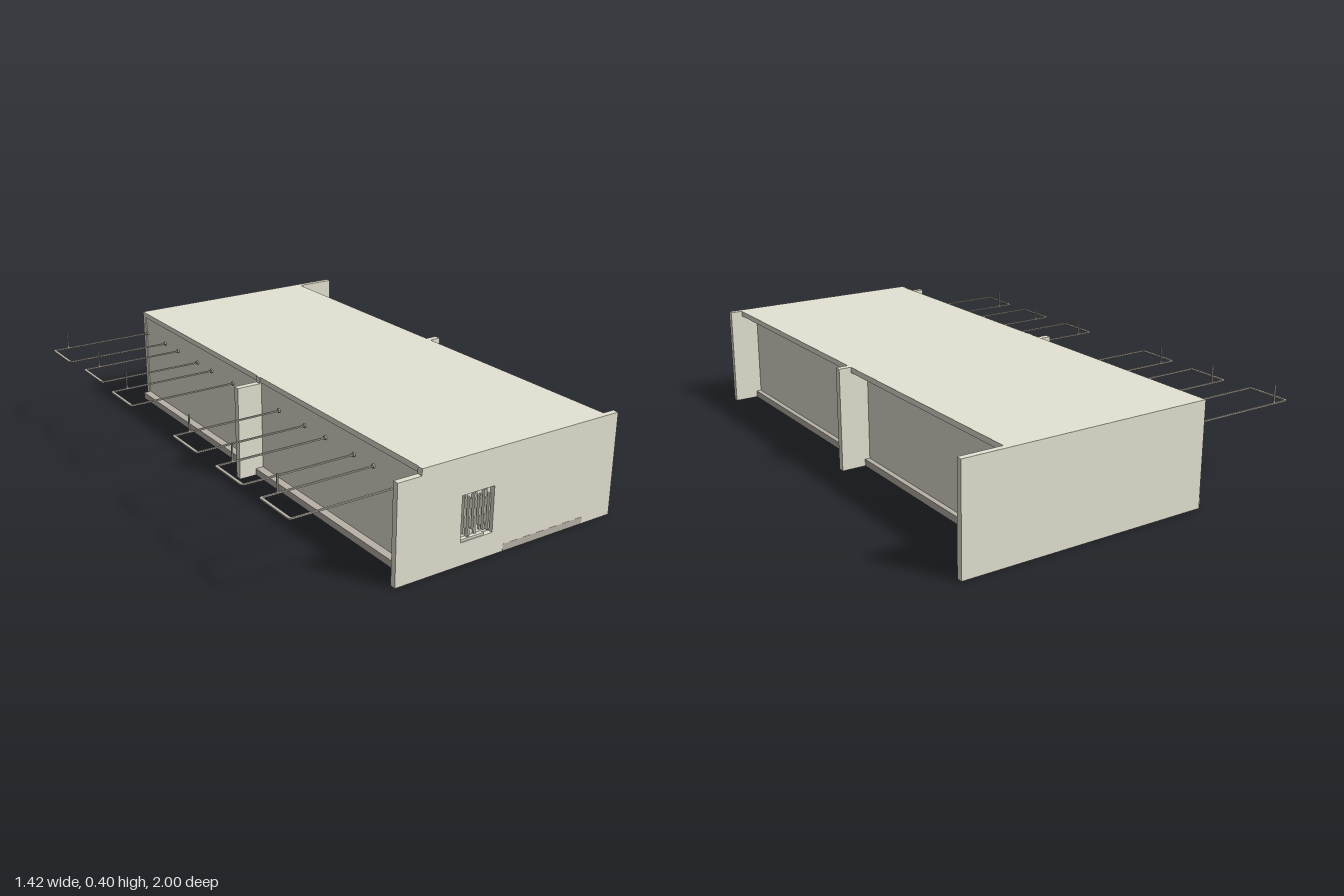
import * as THREE from 'three';

const mat = (name, color) => {
  const m = new THREE.MeshStandardMaterial({ color });
  m.name = name;
  return m;
};

export function createModel() {
  const group = new THREE.Group();
  group.name = 'building';
  const concrete = mat('concrete', 0xe5e2d3);
  const slabGrey = mat('slab grey', 0xb8b2a8);

  const add = (name, geometry, material, parent = group) => {
    const mesh = new THREE.Mesh(geometry, material);
    mesh.name = name;
    parent.add(mesh);
    return mesh;
  };
  // Box given by its minimum and maximum corners
  const box = (name, material, [x0, y0, z0], [x1, y1, z1], parent) => {
    const mesh = add(name, new THREE.BoxGeometry(x1 - x0, y1 - y0, z1 - z0), material, parent);
    mesh.position.set((x0 + x1) / 2, (y0 + y1) / 2, (z0 + z1) / 2);
    return mesh;
  };
  const points = (list) => list.map(([x, y]) => new THREE.Vector2(x, y));

  // Floor slabs and wall blocks of the two bays, and the roof
  for (const [z0, z1] of [[-0.977, -0.014], [0.012, 0.977]]) {
    box('floorSlab', slabGrey, [-0.298, 0, z0], [0.495, 0.027, z1]);
    box('bayWalls', concrete, [-0.266, 0.027, z0], [0.475, 0.375, z1]);
  }
  box('roof', concrete, [-0.27, 0.375, -0.978], [0.542, 0.396, 0.977]);

  // Back wall, shifted towards the left side
  box('backWall', concrete, [-0.27, 0, -1], [0.708, 0.396, -0.977]);

  // Front and middle walls: lower step at the right end, niche in the front one
  const niche = { x0: -0.103, x1: 0.034, y0: 0.086, y1: 0.258 };
  const crossWall = (name, z, depth, hasNiche) => {
    const s = new THREE.Shape(points([
      [-0.368, 0], [0.59, 0], [0.59, 0.396], [-0.273, 0.396], [-0.273, 0.371], [-0.368, 0.371],
    ]));
    if (hasNiche) {
      const { x0, x1, y0, y1 } = niche;
      s.holes.push(new THREE.Path(points([[x0, y0], [x0, y1], [x1, y1], [x1, y0]])));
    }
    const g = new THREE.ExtrudeGeometry(s, { depth, bevelEnabled: false });
    add(name, g, concrete).position.z = z;
  };
  crossWall('middleWall', -0.014, 0.026, false);
  crossWall('frontWall', 0.977, 0.023, true);
  box('frontSlabEdge', slabGrey, [0.085, 0.0005, 0.998], [0.455, 0.027, 1.0005]);

  // Niche back with an uneven relief of upright strips
  const relief = new THREE.Group();
  relief.name = 'nicheRelief';
  group.add(relief);
  box('nicheBack', concrete, [niche.x0, niche.y0, 0.974], [niche.x1, niche.y1, 0.98], relief);
  box('nicheLedge', concrete, [niche.x0, niche.y0, 0.98], [0.0, 0.094, 0.996], relief);
  for (let i = 0; i < 11; i++) {
    const x = -0.09 + i * 0.0108;
    const low = 0.094 + 0.018 * (1 + Math.sin(i * 2.3));
    const high = 0.243 + 0.013 * Math.sin(i * 1.7);
    box('reliefStrip', concrete, [x, low, 0.98], [x + 0.006, high, i % 2 ? 0.989 : 0.996], relief);
  }

  // Flat looped rails on the right side, each with an upright pin
  const wallX = -0.266, railY = 0.304, width = 0.181, leg = 0.007, end = 0.011, bend = 0.012;
  for (const [z0, endX] of [
    [-0.973, -0.708], [-0.678, -0.695], [-0.383, -0.708], [0.137, -0.708], [0.445, -0.708], [0.732, -0.708],
  ]) {
    const rail = new THREE.Group();
    rail.name = 'loopRail';
    rail.position.set(0, railY, z0);
    group.add(rail);

    const s = new THREE.Shape();
    s.moveTo(wallX, 0);
    s.lineTo(endX + bend, 0);
    s.quadraticCurveTo(endX, 0, endX, bend);
    s.lineTo(endX, width - bend);
    s.quadraticCurveTo(endX, width, endX + bend, width);
    s.lineTo(wallX, width);
    s.lineTo(wallX, width - leg);
    s.lineTo(endX + end, width - leg);
    s.lineTo(endX + end, leg);
    s.lineTo(wallX, leg);
    const g = new THREE.ExtrudeGeometry(s, { depth: 0.005, bevelEnabled: false, curveSegments: 6 });
    g.rotateX(Math.PI / 2);
    add('railLoop', g, slabGrey, rail).position.y = 0.0025;

    for (const z of [leg / 2, width - leg / 2]) {
      const flange = add('wallFlange', new THREE.CylinderGeometry(0.008, 0.008, 0.006, 12), slabGrey, rail);
      flange.rotation.z = Math.PI / 2;
      flange.position.set(wallX - 0.003, 0, z);
    }
    const pin = add('railPin', new THREE.CylinderGeometry(0.0035, 0.0035, 0.068, 8), slabGrey, rail);
    pin.position.set(endX + 0.068, 0.034, leg / 2);
    const collar = add('pinCollar', new THREE.CylinderGeometry(0.005, 0.005, 0.01, 10), slabGrey, rail);
    collar.position.set(endX + 0.068, 0.003, leg / 2);
  }
  return group;
}
